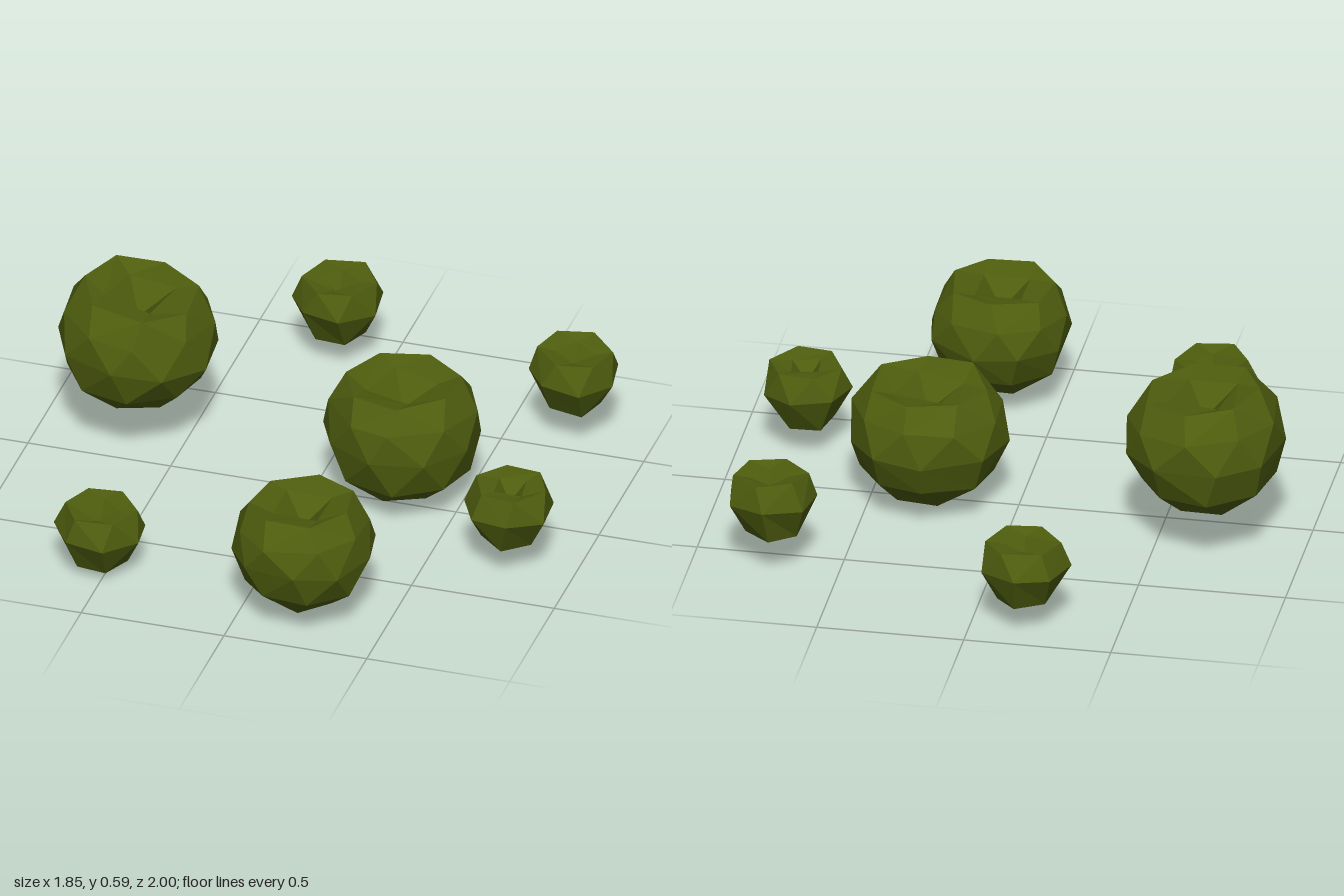
import * as THREE from 'three';

// Rings from the floor of the top hollow down to the base:
// [corner count, radius, height, turn as a fraction of one corner step]
const LARGE = [
  [1, 0, 0.28, 0], [4, 0.48, 0.62, 0.5], [7, 0.76, 0.69, 0.2], [9, 0.97, 0.36, 0.6],
  [9, 1.03, -0.06, 0.1], [8, 0.86, -0.52, 0.5], [5, 0.46, -0.89, 0.2], [1, 0, -1, 0],
];
const SMALL = [
  [1, 0, 0.2, 0], [4, 0.46, 0.6, 0.5], [6, 0.84, 0.67, 0.2],
  [7, 1.05, 0.08, 0.6], [5, 0.62, -0.74, 0.3], [1, 0, -0.96, 0],
];

function seeded(seed) {
  return () => {
    seed = (seed * 16807) % 2147483647;
    return seed / 2147483647 - 0.5;
  };
}

// Faceted fruit: joins neighbouring rings of unequal corner counts by angle
function fruitGeometry(rings, radius, seed) {
  const rand = seeded(seed);
  const points = rings.map(([n, r, y, turn]) => Array.from({ length: n }, (_, i) => {
    const a = ((i + turn) / n) * Math.PI * 2 + rand() * 0.16 * (n > 4 ? 1 : 0.5);
    const k = r * (1 + rand() * 0.07);
    return new THREE.Vector3(
      Math.cos(a) * k, y + rand() * (n > 1 ? 0.07 : 0), Math.sin(a) * k
    ).multiplyScalar(radius);
  }));
  const triangles = [];
  for (let k = 0; k < rings.length - 1; k++) {
    const up = points[k], low = points[k + 1];
    const n = up.length > 1 ? up.length : 0;
    const m = low.length > 1 ? low.length : 0;
    let i = 0, j = 0;
    while (i < n || j < m) {
      const u = up[i % up.length], l = low[j % low.length];
      const nextUp = (i + 1 + rings[k][3]) / n;
      const nextLow = (j + 1 + rings[k + 1][3]) / m;
      if (j >= m || (i < n && nextUp < nextLow)) {
        triangles.push(u, up[(i + 1) % up.length], l);
        i++;
      } else {
        triangles.push(u, low[(j + 1) % low.length], l);
        j++;
      }
    }
  }
  const geometry = new THREE.BufferGeometry().setFromPoints(triangles);
  geometry.computeVertexNormals();
  return geometry;
}

export function createModel() {
  const group = new THREE.Group();
  const olive = new THREE.MeshStandardMaterial({ color: 0x4e5d0e, flatShading: true });
  olive.name = 'olive green';

  // name, rings, radius, centre, turn about y, tilt about z
  const fruits = [
    ['largeFruitRight', LARGE, 0.265, [-0.665, 0.4, -0.155], -0.2, -0.07],
    ['largeFruitCentre', LARGE, 0.26, [0.3, 0.28, -0.04], -0.3, 0],
    ['largeFruitFront', LARGE, 0.235, [0.205, 0.27, 0.765], 0, 0.02],
    ['smallFruitBack', SMALL, 0.148, [-0.175, 0.215, -0.847], -0.7, -0.02],
    ['smallFruitBackLeft', SMALL, 0.148, [0.73, 0.25, -0.585], -0.6, -0.06],
    ['smallFruitLeft', SMALL, 0.148, [0.773, 0.225, 0.28], 0.1, -0.04],
    ['smallFruitFrontRight', SMALL, 0.148, [-0.525, 0.148, 0.705], -0.7, -0.03],
  ];
  fruits.forEach(([name, rings, radius, centre, turn, tilt], i) => {
    const mesh = new THREE.Mesh(fruitGeometry(rings, radius, 911 + i * 7919), olive);
    mesh.name = name;
    mesh.position.set(...centre);
    mesh.rotation.set(0, turn, tilt);
    group.add(mesh);
  });
  return group;
}
